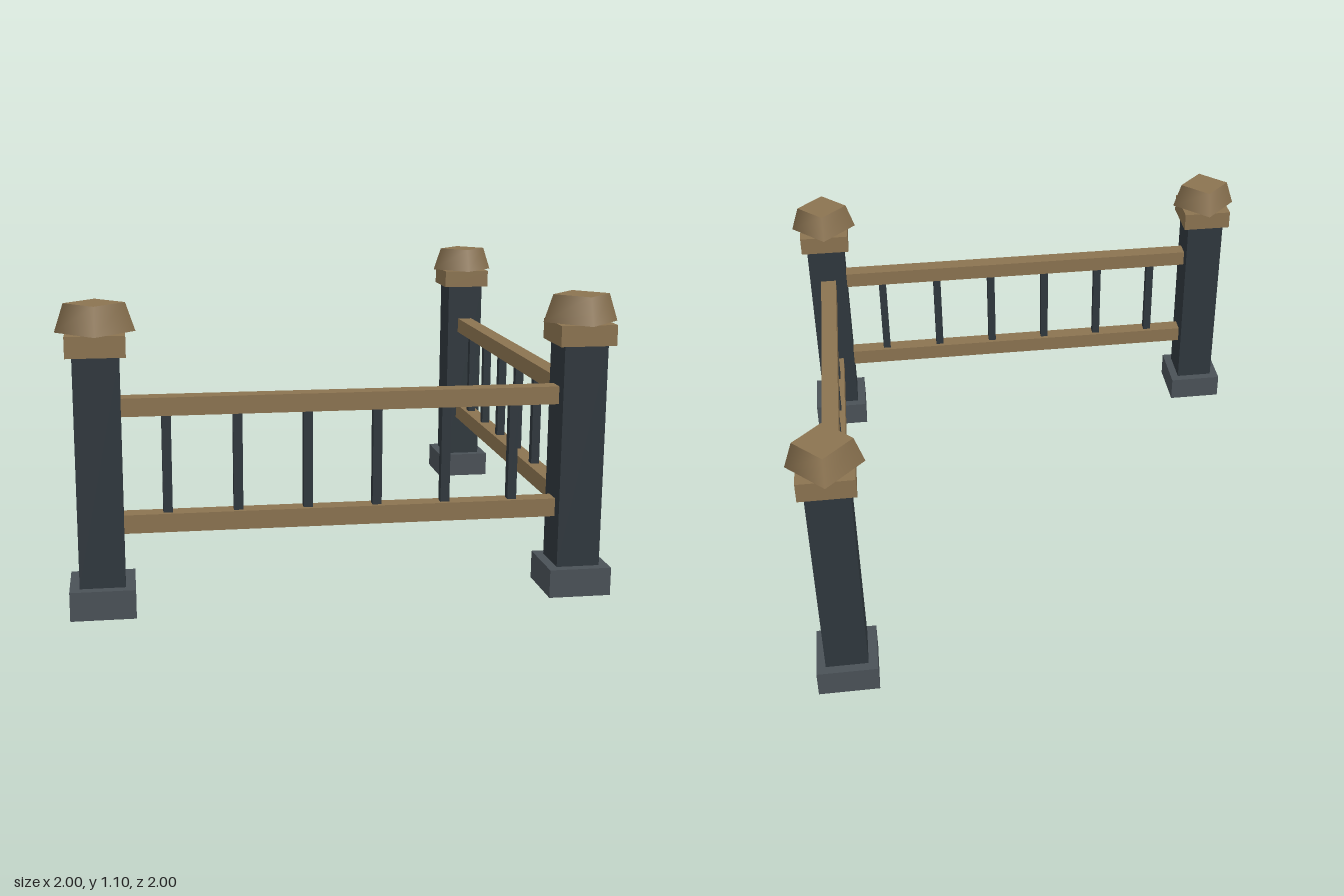
import * as THREE from 'three';

const wood = new THREE.MeshStandardMaterial({ color: 0x8b7350 });
const darkMetal = new THREE.MeshStandardMaterial({ color: 0x2f373d });
const footing = new THREE.MeshStandardMaterial({ color: 0x4a5157 });

const REACH = 0.862; // post centres, on both axes
const POST = 0.16;

function addMesh(parent, name, geometry, material, x, y, z = 0) {
  const mesh = new THREE.Mesh(geometry, material);
  mesh.name = name;
  mesh.position.set(x, y, z);
  parent.add(mesh);
}

// box spanning heights y0 to y1
function addBox(parent, name, material, w, y0, y1, d, x = 0) {
  addMesh(parent, name, new THREE.BoxGeometry(w, y1 - y0, d), material, x, (y0 + y1) / 2);
}

function createPost() {
  const post = new THREE.Group();
  post.name = 'post';
  addBox(post, 'postBase', footing, 0.23, 0, 0.105, 0.23);
  addBox(post, 'postShaft', darkMetal, POST, 0.105, 0.925, POST);
  addBox(post, 'postCollar', wood, 0.205, 0.925, 1.0, 0.205);
  // tapered cap, turned so its corners lie on the axes
  addMesh(post, 'postCap', new THREE.CylinderGeometry(0.105, 0.138, 0.1, 4), wood, 0, 1.05);
  return post;
}

// railing along x, between two posts
function createRailing() {
  const railing = new THREE.Group();
  railing.name = 'railing';
  const length = 2 * REACH - POST;
  addBox(railing, 'bottomRail', wood, length, 0.285, 0.352, 0.065);
  addBox(railing, 'topRail', wood, length, 0.705, 0.77, 0.065);
  for (let i = 0; i < 6; i++) {
    addBox(railing, 'baluster', darkMetal, 0.033, 0.352, 0.705, 0.033, -0.627 + i * 0.25);
  }
  return railing;
}

export function createModel() {
  const fence = new THREE.Group();
  fence.name = 'cornerFence';

  for (const [x, z] of [[-REACH, REACH], [REACH, REACH], [REACH, -REACH]]) {
    const post = createPost();
    post.position.set(x, 0, z);
    fence.add(post);
  }

  const frontRailing = createRailing();
  frontRailing.name = 'frontRailing';
  frontRailing.position.z = REACH;

  const sideRailing = createRailing();
  sideRailing.name = 'sideRailing';
  sideRailing.position.x = REACH;
  sideRailing.rotation.y = Math.PI / 2;

  fence.add(frontRailing, sideRailing);
  return fence;
}
